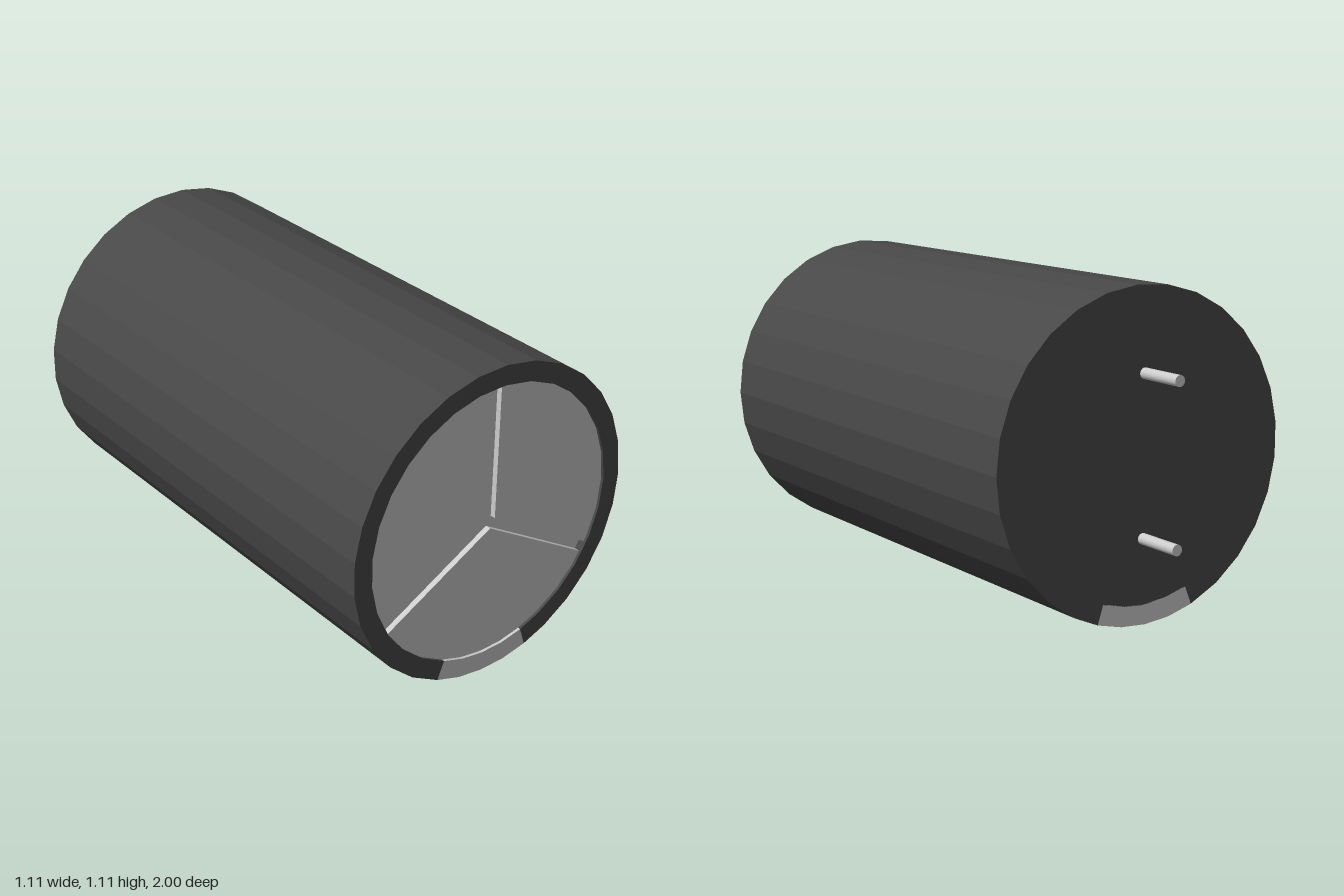
import * as THREE from 'three';

const CY = 0.558, R = 0.557, R_IN = 0.488;
const BACK = -0.82, FRONT = 1;
const DEG = Math.PI / 180;
const STEP = 360 / 29;

const dark = new THREE.MeshStandardMaterial({ color: 0x484848, flatShading: true });
const light = new THREE.MeshStandardMaterial({ color: 0xcccccc, flatShading: true });
const metal = new THREE.MeshStandardMaterial({ color: 0xcccccc });

const polar = (r, deg) => new THREE.Vector2(r * Math.cos(deg * DEG), r * Math.sin(deg * DEG));

// Extrudes a closed outline from z0 to z1 around the can's axis
function extrude(points, z0, z1) {
  const geo = new THREE.ExtrudeGeometry(new THREE.Shape(points), { depth: z1 - z0, bevelEnabled: false });
  return geo.translate(0, CY, z0);
}

// Ring segment whose outer and inner corners lie at the given angles
const arcBand = (angles) => [
  ...angles.map((a) => polar(R, a)),
  ...[...angles].reverse().map((a) => polar(R_IN, a)),
];

export function createModel() {
  const group = new THREE.Group();
  const add = (name, geo, mat) => {
    const mesh = new THREE.Mesh(geo, mat);
    mesh.name = name;
    group.add(mesh);
    return mesh;
  };

  // Dark sleeve, open along the bottom for the stripe
  const sleeveAngles = [-72];
  for (let i = -5; i <= 20; i++) sleeveAngles.push(i * STEP);
  add('sleeve', extrude(arcBand(sleeveAngles), BACK, FRONT), dark);

  // Light polarity stripe filling the gap
  const stripeAngles = [0, 1, 2, 3, 4].map((i) => 20 * STEP + (i / 4) * (288 - 20 * STEP));
  add('stripe', extrude(arcBand(stripeAngles), BACK, FRONT), light);

  // Dark end plug at the back
  const plug = new THREE.CylinderGeometry(R_IN + 0.002, R_IN + 0.002, 0.04, 48);
  plug.rotateX(Math.PI / 2).translate(0, CY, BACK + 0.02);
  add('backPlug', plug, dark);

  // Metal can behind the vent grooves
  const can = new THREE.CylinderGeometry(R_IN, R_IN, 1.74, 48);
  can.rotateX(Math.PI / 2).translate(0, CY, 0.1);
  add('can', can, metal);

  // Three raised sectors leave the Y-shaped vent groove between them
  const half = 0.018;
  const inset = Math.asin(half / R_IN) / DEG;
  for (let k = 0; k < 3; k++) {
    const start = 90 + k * 120;
    const points = [polar(half / Math.sin(60 * DEG), start + 60)];
    for (let i = 0; i <= 16; i++) {
      points.push(polar(R_IN, start + inset + (i / 16) * (120 - 2 * inset)));
    }
    add('ventSector' + (k + 1), extrude(points, 0.96, 0.99), light);
  }

  // Two lead pins
  for (const [name, y] of [['upperPin', 0.83], ['lowerPin', 0.29]]) {
    const pin = new THREE.CylinderGeometry(0.019, 0.019, 0.2, 20);
    pin.rotateX(Math.PI / 2).translate(-0.003, y, -0.9);
    add(name, pin, metal);
  }
  return group;
}
